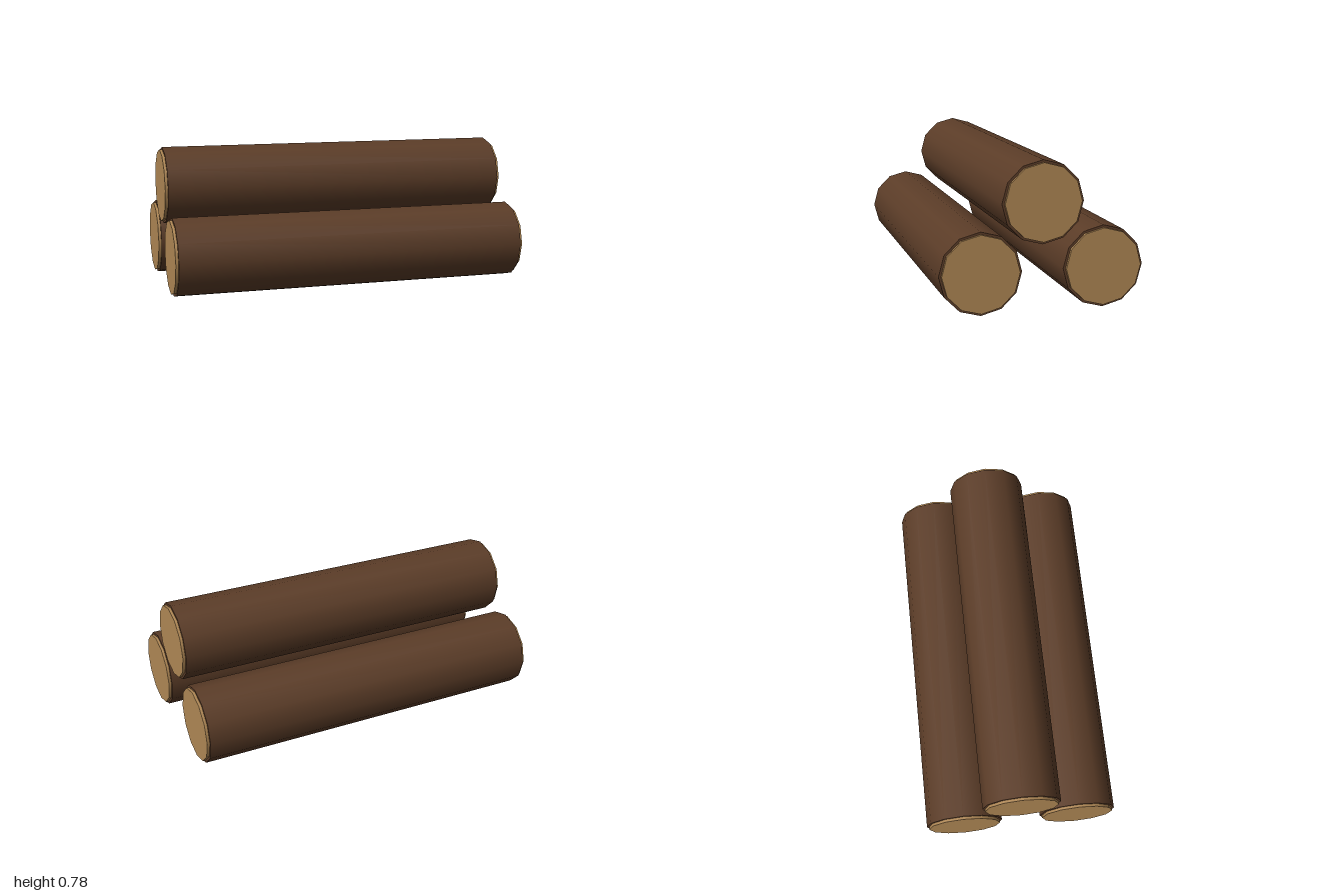
import * as THREE from 'three';

const SIDES = 12;

// Cylinder lying along x
function lying(radius, length) {
  return new THREE.CylinderGeometry(radius, radius, length, SIDES).rotateZ(Math.PI / 2);
}

export function createModel() {
  const model = new THREE.Group();
  model.name = 'logPile';

  const barkMaterial = new THREE.MeshStandardMaterial({ color: 0x5c3d28 });
  const woodMaterial = new THREE.MeshStandardMaterial({ color: 0xb08855 });
  const barkGeometry = lying(0.217, 1.97);
  const endGeometry = lying(0.204, 0.03);

  // Bark-covered log with a pale cut face standing slightly proud at each end
  function addLog(name, y, z) {
    const log = new THREE.Group();
    log.name = name;
    const bark = new THREE.Mesh(barkGeometry, barkMaterial);
    bark.name = 'bark';
    log.add(bark);
    for (const side of [-1, 1]) {
      const end = new THREE.Mesh(endGeometry, woodMaterial);
      end.name = side > 0 ? 'leftCutEnd' : 'rightCutEnd';
      end.position.x = side * 0.985;
      log.add(end);
    }
    log.position.set(0, y, z);
    model.add(log);
  }

  // Two logs on the ground, one resting above the gap
  addLog('frontLog', 0.22, 0.327);
  addLog('backLog', 0.22, -0.327);
  addLog('topLog', 0.571, 0);

  return model;
}
